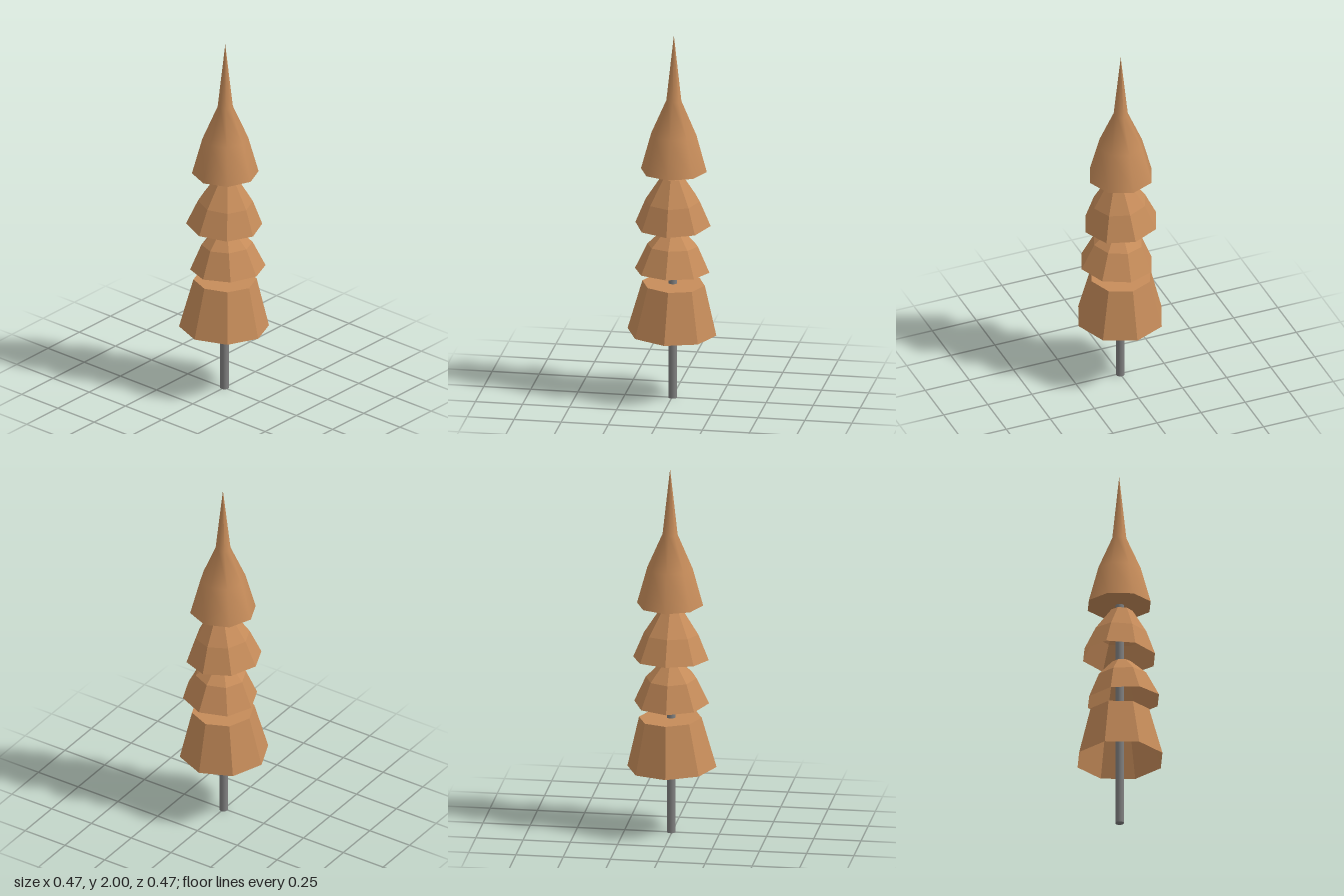
import * as THREE from 'three';

const SIDES = 8;

// Eight-sided turned shell from [radius, height] pairs, bottom to top
function shell(profile) {
  return new THREE.LatheGeometry(profile.map(([r, y]) => new THREE.Vector2(r, y)), SIDES);
}

export function createModel() {
  const tree = new THREE.Group();
  tree.name = 'tree';

  const smoothFoliage = new THREE.MeshStandardMaterial({ color: 0xc68c5a });
  const flatFoliage = new THREE.MeshStandardMaterial({
    color: 0xc68c5a, flatShading: true, side: THREE.DoubleSide,
  });

  function add(name, geometry, material, x, y, z) {
    const mesh = new THREE.Mesh(geometry, material);
    mesh.name = name;
    mesh.position.set(x, y, z);
    tree.add(mesh);
    return mesh;
  }

  // Trunk running up through every tier
  add('trunk', new THREE.CylinderGeometry(0.023, 0.023, 1.28, 16),
    new THREE.MeshStandardMaterial({ color: 0x808080 }), 0, 0.64, -0.004);

  // Faceted skirts: open below, closed on top, each tilted a little
  const tiers = [
    { name: 'lowerTier', at: [0, 0.362, 0], tilt: [-0.032, 0],
      profile: [[0.236, 0], [0.166, 0.27], [0, 0.27]] },
    { name: 'middleTier', at: [0.022, 0.709, -0.005], tilt: [-0.01, 0.05],
      profile: [[0.198, 0], [0.134, 0.138], [0.053, 0.219], [0, 0.219]] },
    { name: 'upperTier', at: [-0.003, 0.957, -0.005], tilt: [0, -0.06],
      profile: [[0.2, 0], [0.144, 0.135], [0.06, 0.265], [0, 0.265]] },
  ];
  for (const { name, at, tilt, profile } of tiers) {
    add(name, shell(profile), flatFoliage, ...at).rotation.set(tilt[0], 0, tilt[1]);
  }

  // Smooth pointed top with a flat underside
  const crownProfile = [[0.175, 0], [0.12, 0.2], [0.04, 0.385], [0, 0.745]];
  add('crown', shell(crownProfile), smoothFoliage, 0, 1.255, -0.01);
  add('crownUnderside', new THREE.CircleGeometry(0.175, SIDES), smoothFoliage, 0, 1.255, -0.01)
    .rotation.x = Math.PI / 2;

  return tree;
}
